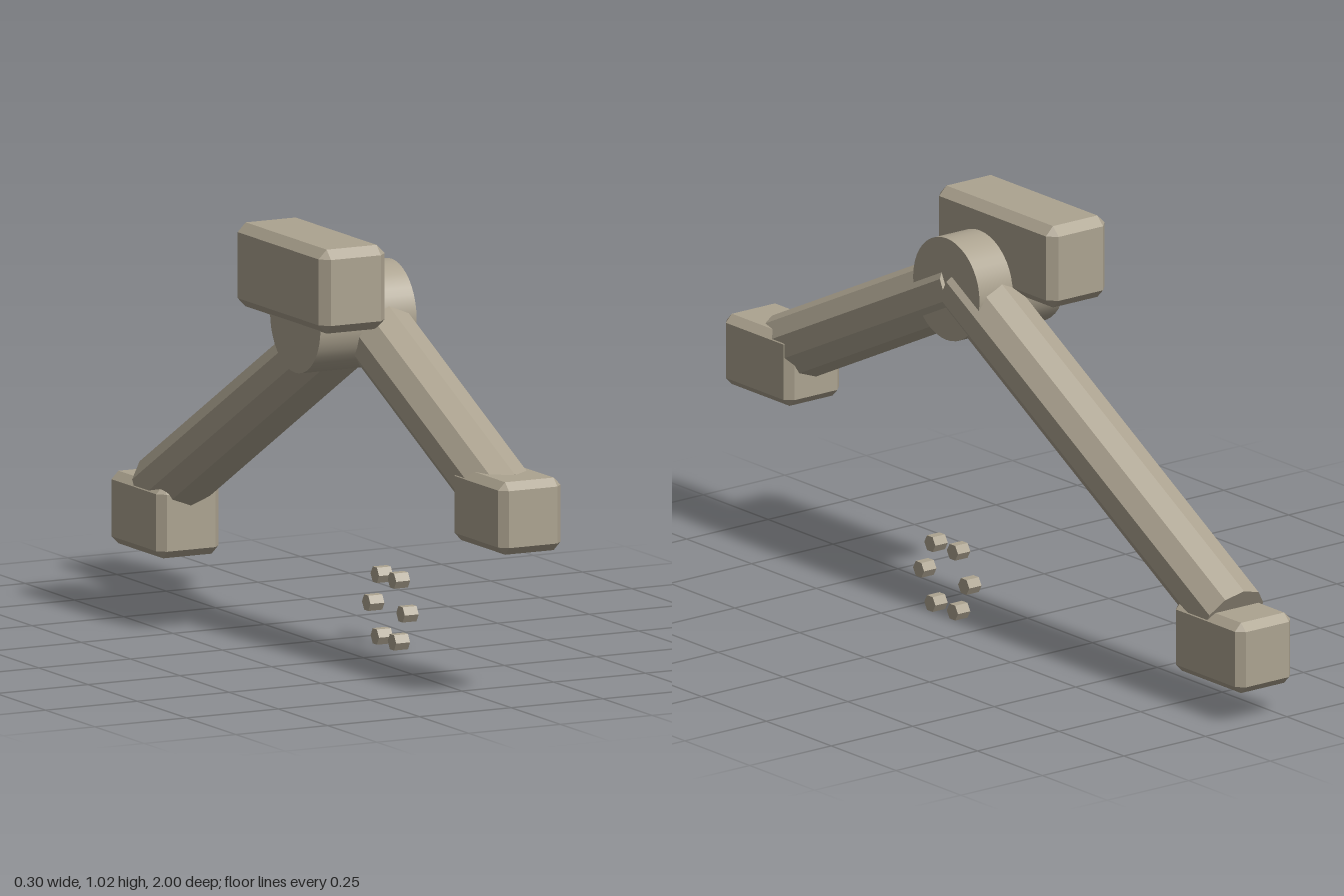
import * as THREE from 'three';
import { ConvexGeometry } from 'three/addons/geometries/ConvexGeometry.js';

const PIVOT = { y: 0.818, z: 0.147 };
const ARM_X = 0.06;

export function createModel() {
  const model = new THREE.Group();
  model.name = 'foldingArm';
  const smooth = new THREE.MeshStandardMaterial({ color: 0xaca390 });
  const flat = new THREE.MeshStandardMaterial({ color: 0xaca390, flatShading: true });

  const add = (name, geometry, material, x, y, z) => {
    const mesh = new THREE.Mesh(geometry, material);
    mesh.name = name;
    mesh.position.set(x, y, z);
    model.add(mesh);
    return mesh;
  };

  // Block with all twelve edges chamfered: three corner points per corner
  const chamferBox = (w, h, d, c) => {
    const points = [];
    for (const sx of [-1, 1]) for (const sy of [-1, 1]) for (const sz of [-1, 1]) {
      const [x, y, z] = [w / 2, h / 2, d / 2];
      points.push(
        new THREE.Vector3(sx * x, sy * (y - c), sz * (z - c)),
        new THREE.Vector3(sx * (x - c), sy * y, sz * (z - c)),
        new THREE.Vector3(sx * (x - c), sy * (y - c), sz * z));
    }
    return new ConvexGeometry(points);
  };

  // Upper housing and the two end blocks
  add('housing', chamferBox(0.18, 0.205, 0.455, 0.022), flat, -0.06, 0.913, 0.097);
  add('frontEndBlock', chamferBox(0.17, 0.177, 0.26, 0.019), flat, ARM_X, 0.459, 0.87);
  add('backEndBlock', chamferBox(0.17, 0.177, 0.265, 0.019), flat, ARM_X, 0.168, -0.868);

  // Round pivot hub through the housing and arms
  const hub = new THREE.CylinderGeometry(0.128, 0.128, 0.262, 40).rotateZ(Math.PI / 2);
  add('pivotHub', hub, smooth, 0.001, PIVOT.y, PIVOT.z);

  // Ten-sided arms running from the pivot into the end blocks
  const addArm = (name, y, z) => {
    const dy = y - PIVOT.y, dz = z - PIVOT.z;
    const geometry = new THREE.CylinderGeometry(0.087, 0.087, Math.hypot(dy, dz), 10);
    const arm = add(name, geometry, flat, ARM_X, (y + PIVOT.y) / 2, (z + PIVOT.z) / 2);
    arm.rotation.x = Math.atan2(dz, dy);
  };
  addArm('frontArm', 0.47, 0.87);
  addArm('backArm', 0.23, -0.867);

  // Ring of six hexagonal bolts below the pivot
  const bolt = new THREE.CylinderGeometry(0.0215, 0.0215, 0.038, 6).rotateZ(Math.PI / 2);
  for (let i = 0; i < 6; i++) {
    const a = (i * Math.PI) / 3;
    add('bolt' + (i + 1), bolt, flat, 0.129,
      0.0937 + 0.087 * Math.sin(a), PIVOT.z + 0.087 * Math.cos(a));
  }
  return model;
}
